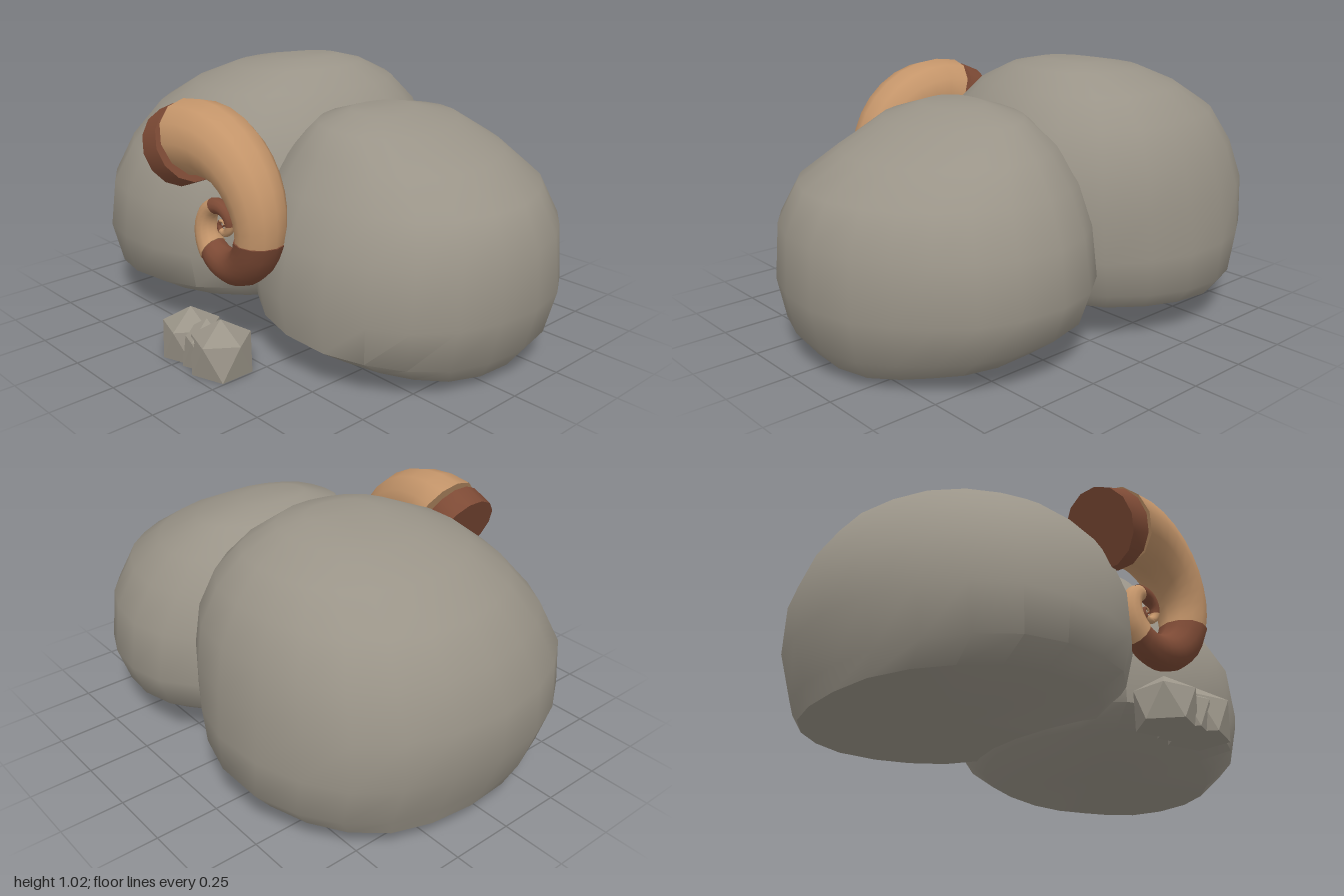
import * as THREE from 'three';
import { toCreasedNormals } from 'three/addons/utils/BufferGeometryUtils.js';

const stone = new THREE.MeshStandardMaterial({ color: 0x9a9488 });
stone.name = 'grey stone';
const tan = new THREE.MeshStandardMaterial({ color: 0xc4956a });
tan.name = 'tan shell';
const brown = new THREE.MeshStandardMaterial({ color: 0x7d4a35 });
brown.name = 'brown shell';

function mesh(name, geometry, material) {
  const m = new THREE.Mesh(geometry, material);
  m.name = name;
  return m;
}

// Skin a list of equally sized rings and close both ends
function loft(rings, crease) {
  const n = rings[0].length;
  const points = rings.flat();
  const index = [];
  for (let r = 0; r < rings.length - 1; r++) {
    for (let i = 0; i < n; i++) {
      const a = r * n + i, b = r * n + (i + 1) % n;
      index.push(a, a + n, b, b, a + n, b + n);
    }
  }
  const centre = ring => ring.reduce((s, p) => s.add(p), new THREE.Vector3()).divideScalar(n);
  const last = (rings.length - 1) * n, start = points.length;
  points.push(centre(rings[0]), centre(rings[rings.length - 1]));
  for (let i = 0; i < n; i++) {
    const j = (i + 1) % n;
    index.push(start, i, j, start + 1, last + j, last + i);
  }
  const g = new THREE.BufferGeometry().setFromPoints(points);
  g.setIndex(index);
  return toCreasedNormals(g, crease);
}

// Each row: height, x range, z range, sideways slope of the ring.
// backLeft and frontRight push those corners of the outline out or in.
function boulder(name, rows, { midX, seed, backLeft, frontRight }) {
  const sides = 22, power = 2 / 2.15;
  const soft = v => Math.sign(v) * Math.abs(v) ** power;
  const rings = rows.map(([y, x0, x1, z0, z1, slope]) =>
    Array.from({ length: sides }, (_, i) => {
      const a = (i / sides) * Math.PI * 2;
      const corner = Math.cos(a + Math.PI / 4);
      const bump = 1 + 0.01 * Math.sin(3 * a + seed + 4 * y) + 0.007 * Math.sin(7 * a + seed * 2 - 5 * y)
        + (corner > 0 ? backLeft : frontRight) * corner ** 4;
      const x = (x0 + x1) / 2 + (x1 - x0) / 2 * soft(Math.cos(a)) * bump;
      const z = (z0 + z1) / 2 + (z1 - z0) / 2 * soft(Math.sin(a)) * bump;
      return new THREE.Vector3(x, y + slope * (x - midX), z);
    }));
  return mesh(name, loft(rings, 0.8), stone);
}

// Coiled shell built from alternating colour bands
function shell() {
  const group = new THREE.Group();
  group.name = 'spiralShell';
  const sides = 12, steps = 10, bands = 8;
  const begin = 2.03, sweep = 2.05;
  const ringAt = (angle, swell) => {
    const R = 0.217 * Math.exp((angle > 0 ? 0.22 : 0.255) * angle);
    const r = R * 0.435 * swell;
    const out = new THREE.Vector3(Math.cos(angle), Math.sin(angle), 0);
    const c = new THREE.Vector3(0.033, 0.505, 0.52).addScaledVector(out, R);
    return Array.from({ length: sides }, (_, i) => {
      const a = (i / sides) * Math.PI * 2;
      const p = c.clone().addScaledVector(out, r * Math.cos(a));
      p.z -= r * Math.sin(a);
      return p;
    });
  };
  for (let b = 0; b < bands; b++) {
    const rings = [];
    for (let s = 0; s <= steps; s++) {
      const swell = 1.02 - 0.06 * s / steps;
      rings.push(ringAt(begin - sweep * (b + s / steps), swell));
    }
    group.add(mesh('shellBand' + (b + 1), loft(rings, 0.9), b % 2 ? brown : tan));
  }
  // Thick lip at the mouth
  const lip = mesh('shellLip', toCreasedNormals(new THREE.CylinderGeometry(0.155, 0.155, 0.095, 14), 0.7), brown);
  lip.position.set(-0.185, 0.77, 0.52);
  lip.rotation.z = -1.17;
  group.add(lip);
  return group;
}

// Small faceted stones in front, point up and flat underneath
function pebbles() {
  const group = new THREE.Group();
  group.name = 'pebbles';
  const facetStone = new THREE.MeshStandardMaterial({ color: 0x9a9488, flatShading: true });
  facetStone.name = 'faceted grey stone';
  const rock = new THREE.IcosahedronGeometry(0.125, 0);
  rock.rotateZ(-Math.atan(2 / (1 + Math.sqrt(5))));
  rock.translate(0, 0.075, 0);
  const pos = rock.attributes.position;
  for (let i = 0; i < pos.count; i++) if (pos.getY(i) < 0.05) pos.setY(i, 0);
  rock.computeVertexNormals();
  [[-0.035, 0.63, 1, 0.95], [0.065, 0.63, 0.88, 0.87], [0.15, 0.63, 1.03, 1]]
    .forEach(([x, z, size, height], i) => {
      const p = mesh('pebble' + (i + 1), rock, facetStone);
      p.position.set(x, 0, z);
      p.scale.set(size, height, size);
      group.add(p);
    });
  return group;
}

export function createModel() {
  const model = new THREE.Group();
  model.name = 'shellOnRocks';
  model.add(boulder('largeBoulder', [
    [0.12, -0.91, 0.13, -0.66, 0.48, 0.075],
    [0.19, -0.94, 0.18, -0.72, 0.59, 0.06],
    [0.34, -1.0, 0.22, -0.73, 0.62, 0.02],
    [0.52, -1.0, 0.23, -0.72, 0.60, 0],
    [0.68, -0.93, 0.20, -0.69, 0.53, 0],
    [0.82, -0.84, 0.14, -0.62, 0.41, 0],
    [0.92, -0.68, 0.05, -0.52, 0.29, 0.01],
    [0.985, -0.53, -0.04, -0.38, 0.13, 0.03],
    [1.01, -0.36, -0.14, -0.28, 0.0, 0.04]],
  { midX: -0.4, seed: 0.6, backLeft: 0.07, frontRight: 0 }));
  model.add(boulder('smallBoulder', [
    [0.08, 0.0, 0.89, -0.58, 0.35, -0.11],
    [0.16, -0.07, 0.96, -0.69, 0.47, -0.08],
    [0.30, -0.10, 1.0, -0.74, 0.49, -0.03],
    [0.50, -0.10, 0.99, -0.71, 0.46, 0],
    [0.65, -0.08, 0.92, -0.63, 0.38, 0],
    [0.76, 0.0, 0.75, -0.53, 0.29, -0.03],
    [0.85, 0.10, 0.55, -0.39, 0.21, -0.06],
    [0.89, 0.20, 0.40, -0.20, 0.08, -0.06]],
  { midX: 0.45, seed: 2.1, backLeft: -0.13, frontRight: 0.1 }));
  model.add(shell(), pebbles());
  return model;
}
